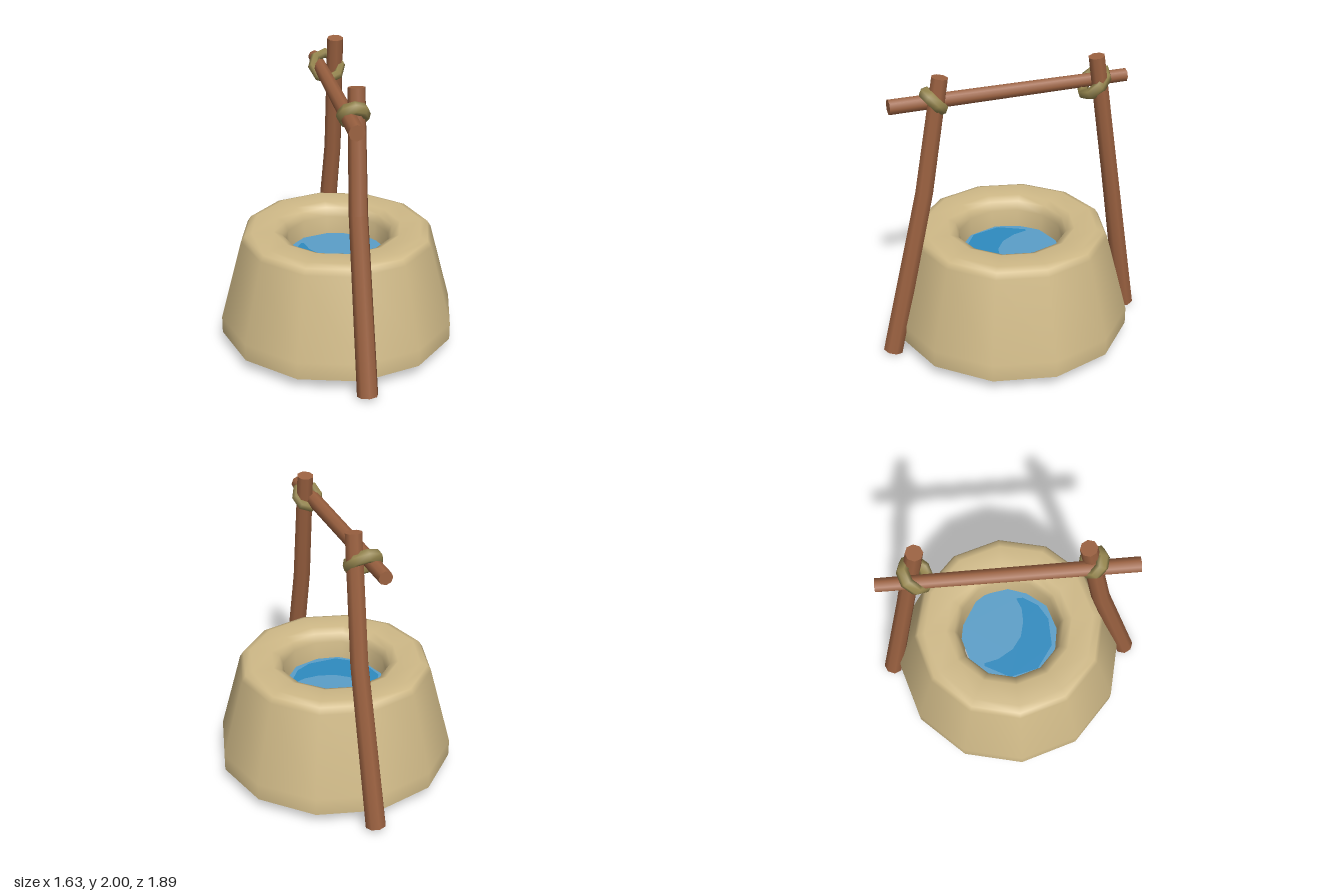
import * as THREE from 'three';

const mat = (name, color, side = THREE.FrontSide) => {
  const m = new THREE.MeshStandardMaterial({ color, side });
  m.name = name;
  return m;
};

// Pole through a few points: a cylinder whose rings are moved, turned and scaled.
function poleGeometry(points, radii, sides = 8) {
  const pts = points.map(p => new THREE.Vector3(...p));
  const n = pts.length - 1;
  const geo = new THREE.CylinderGeometry(1, 1, 1, sides, n);
  const pos = geo.attributes.position, nor = geo.attributes.normal;
  const up = new THREE.Vector3(0, 1, 0), v = new THREE.Vector3();
  const turns = pts.map((p, i) => {
    const dir = pts[Math.min(i + 1, n)].clone().sub(pts[Math.max(i - 1, 0)]).normalize();
    return new THREE.Quaternion().setFromUnitVectors(up, dir);
  });
  for (let i = 0; i < pos.count; i++) {
    const k = Math.round((pos.getY(i) + 0.5) * n);
    v.set(pos.getX(i) * radii[k], 0, pos.getZ(i) * radii[k]).applyQuaternion(turns[k]).add(pts[k]);
    pos.setXYZ(i, v.x, v.y, v.z);
    v.fromBufferAttribute(nor, i).applyQuaternion(turns[k]);
    nor.setXYZ(i, v.x, v.y, v.z);
  }
  return geo;
}

// Flat horizontal outline given as [x, z] points
function flatGeometry(outline, y) {
  const shape = new THREE.Shape(outline.map(([x, z]) => new THREE.Vector2(x, -z)));
  return new THREE.ShapeGeometry(shape).rotateX(-Math.PI / 2).translate(0, y, 0);
}

export function createModel() {
  const model = new THREE.Group();
  model.name = 'well';
  const clay = mat('clay', 0xd0ba88, THREE.DoubleSide);
  const wood = mat('wood', 0x9c6241);
  const rope = mat('rope', 0x988850);
  const water = mat('water', 0x5b9fc9, THREE.DoubleSide);
  const deepWater = mat('deepWater', 0x2e8bc0, THREE.DoubleSide);

  const add = (name, geo, material) => {
    const mesh = new THREE.Mesh(geo, material);
    mesh.name = name;
    model.add(mesh);
    return mesh;
  };

  // Twelve-sided wall, open below, with the shaft hanging inside
  const profile = [
    [0.815, 0.09], [0.815, 0.21], [0.665, 0.77], [0.64, 0.81], [0.59, 0.828],
    [0.44, 0.825], [0.385, 0.8], [0.36, 0.74], [0.35, 0.62], [0.33, 0.31],
  ].map(([r, y]) => new THREE.Vector2(r, y));
  add('wall', new THREE.LatheGeometry(profile, 12), clay);

  // Water surface and its darker patch
  add('water', flatGeometry([
    [-0.35, -0.03], [-0.29, -0.18], [-0.2, -0.29], [0, -0.34], [0.1, -0.32], [0.27, -0.21], [0.32, -0.13],
    [0.34, 0.03], [0.29, 0.16], [0.18, 0.29], [0, 0.34], [-0.15, 0.31], [-0.29, 0.19],
  ], 0.62), water);
  add('deepWater', flatGeometry([
    [-0.22, -0.2], [-0.2, -0.2], [-0.18, -0.1], [-0.12, 0.01], [-0.03, 0.08], [0.08, 0.11], [0.18, 0.11],
    [0.26, 0.08], [0.26, 0.13], [0.19, 0.23], [0.08, 0.29], [-0.12, 0.29], [-0.28, 0.17], [-0.32, -0.03],
  ], 0.625), deepWater);

  // Two bent posts and the crossbeam
  add('frontPost', poleGeometry(
    [[0.02, 0.022, 0.88], [0.01, 1.18, 0.612], [0.02, 1.97, 0.485]], [0.07, 0.062, 0.056]), wood);
  add('backPost', poleGeometry(
    [[0.055, 0.03, -0.875], [0.105, 1.16, -0.685], [0.1, 1.995, -0.56]], [0.07, 0.06, 0.056]), wood);
  add('crossbeam', poleGeometry(
    [[-0.046, 1.792, 0.808], [0.002, 1.795, -0.825]], [0.052, 0.046]), wood);

  // Rope bindings wrapped diagonally around post and beam
  const binding = (name, radius, position, tilt, stretch) => {
    const mesh = add(name, new THREE.TorusGeometry(radius, 0.034, 6, 8), rope);
    mesh.position.set(...position);
    mesh.rotation.x = tilt;
    mesh.scale.set(1, stretch, 1.3);
  };
  binding('frontBinding', 0.075, [-0.006, 1.807, 0.522], 0.73, 1.08);
  binding('backBinding', 0.098, [0.042, 1.795, -0.575], -0.78, 1.05);

  return model;
}
